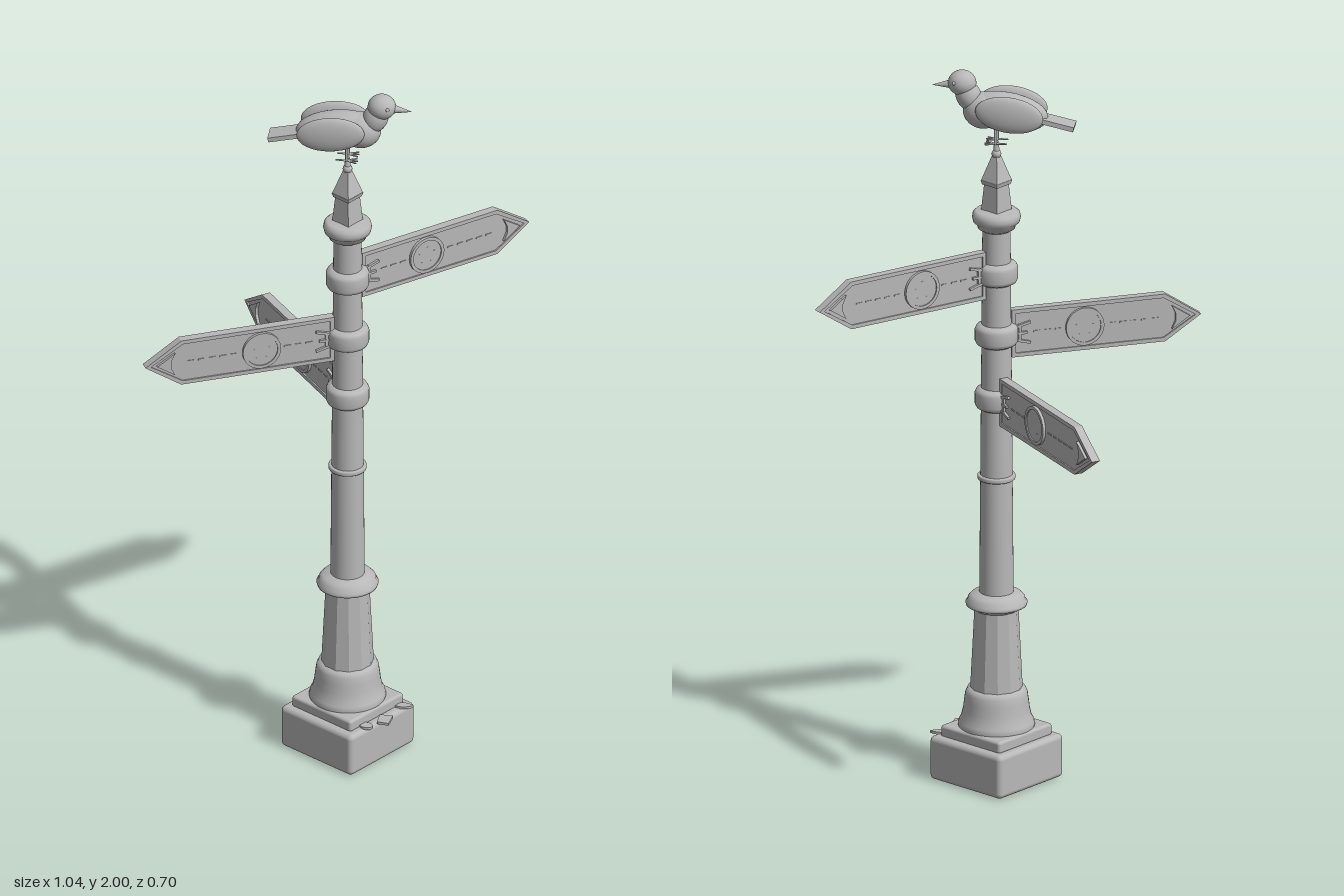
import * as THREE from 'three';
import { RoundedBoxGeometry } from 'three/addons/geometries/RoundedBoxGeometry.js';

const stone = new THREE.MeshStandardMaterial({ color: 0xb8b8b8 });
const facetedStone = stone.clone();
facetedStone.flatShading = true;
stone.name = 'grey';
facetedStone.name = 'grey faceted';

function add(parent, name, geometry, x = 0, y = 0, z = 0, material = stone) {
  const mesh = new THREE.Mesh(geometry, material);
  mesh.name = name;
  mesh.position.set(x, y, z);
  parent.add(mesh);
  return mesh;
}

const lathe = (pts, sides = 40) =>
  new THREE.LatheGeometry(pts.map(([r, y]) => new THREE.Vector2(r, y)), sides);

// Rounded ring band around the post, centred on y
function band(parent, name, r, h, y) {
  const c = h * 0.25;
  add(parent, name, lathe([[0.03, -h / 2], [r - c, -h / 2], [r - c * 0.3, -h / 2 + c * 0.4], [r, -h / 2 + c],
    [r, h / 2 - c], [r - c * 0.3, h / 2 - c * 0.4], [r - c, h / 2], [0.03, h / 2]]), 0, y, 0);
}

// Square tapering block
function squareTaper(parent, name, top, bottom, y0, y1) {
  const g = new THREE.CylinderGeometry(top * Math.SQRT2, bottom * Math.SQRT2, y1 - y0, 4);
  add(parent, name, g, 0, (y0 + y1) / 2, 0, facetedStone).rotation.y = Math.PI / 4;
}

function polygon(pts, Kind = THREE.Shape) {
  return new Kind(pts.map(([x, y]) => new THREE.Vector2(x, y)));
}

function extrude(shape, depth) {
  const g = new THREE.ExtrudeGeometry(shape, { depth, bevelEnabled: false, curveSegments: 24 });
  return g.translate(0, 0, -depth / 2);
}

// Pointed finger board, reaching along +x
function makeSign(name, y, angle) {
  const sign = new THREE.Group();
  sign.name = name;
  const outline = (d) => [[0.04 + d, -0.067 + d], [0.467 - d * 0.4, -0.067 + d], [0.567 - d * 1.4, 0],
    [0.467 - d * 0.4, 0.067 - d], [0.04 + d, 0.067 - d]];
  add(sign, 'board', extrude(polygon(outline(0)), 0.016));
  const rim = polygon(outline(0));
  rim.holes.push(polygon(outline(0.011).reverse(), THREE.Path));
  add(sign, 'raisedRim', extrude(rim, 0.024));

  // Emblem ring and small disc, raised on both faces
  const ring = new THREE.Shape().absarc(0, 0, 0.053, 0, Math.PI * 2);
  ring.holes.push(new THREE.Path().absarc(0, 0, 0.044, 0, Math.PI * 2, true));
  add(sign, 'emblemRing', extrude(ring, 0.032), 0.243);
  add(sign, 'emblemDisc', new THREE.CylinderGeometry(0.044, 0.044, 0.026, 32), 0.243).rotation.x = Math.PI / 2;
  for (let i = 0; i < 5; i++) {
    const a = i * Math.PI * 0.4 + 0.3;
    add(sign, 'emblemStud', new THREE.SphereGeometry(0.006, 10, 6).scale(1, 1, 2.4),
      0.243 + 0.024 * Math.cos(a), 0.024 * Math.sin(a), 0);
  }
  // Arrow at the point
  const arrow = polygon([[0.485, 0.033], [0.535, 0], [0.485, -0.033], [0.496, -0.01], [0.496, 0.01]]);
  add(sign, 'pointArrow', extrude(arrow, 0.032));
  // Bracket straps by the post
  for (const dy of [-0.022, 0, 0.022])
    add(sign, 'bracketStrap', new THREE.BoxGeometry(dy ? 0.055 : 0.045, 0.007, 0.03), dy ? 0.065 : 0.06, dy, 0)
      .rotation.z = dy * 12;
  add(sign, 'bracketBar', new THREE.BoxGeometry(0.008, 0.05, 0.028), 0.062, 0, 0);
  // Broken raised line along the middle
  for (const x of [0.11, 0.14, 0.17, 0.32, 0.35, 0.38, 0.41, 0.44])
    add(sign, 'dash', new THREE.BoxGeometry(0.018, 0.004, 0.02), x, 0, 0);

  sign.position.y = y;
  sign.rotation.y = angle;
  return sign;
}

// Perched bird, facing local +z with its feet at y = 0
function makeBird() {
  const bird = new THREE.Group();
  bird.name = 'bird';
  const ball = (name, r, sx, sy, sz, x, y, z, tilt = 0) => {
    const m = add(bird, name, new THREE.SphereGeometry(r, 28, 18).scale(sx, sy, sz), x, y, z);
    m.rotation.x = tilt;
    return m;
  };
  ball('body', 1, 0.045, 0.054, 0.115, 0, 0.088, -0.025, -0.12);
  ball('breast', 1, 0.046, 0.05, 0.055, 0, 0.09, 0.035);
  ball('neck', 1, 0.032, 0.045, 0.034, 0, 0.13, 0.075, 0.4);
  ball('head', 1, 0.035, 0.035, 0.038, 0, 0.165, 0.092);
  const beak = new THREE.ConeGeometry(0.013, 0.055, 12).rotateX(Math.PI / 2);
  add(bird, 'beak', beak, 0, 0.158, 0.146).rotation.x = 0.1;
  const tail = add(bird, 'tail', new THREE.BoxGeometry(0.056, 0.013, 0.14), 0, 0.07, -0.142);
  tail.rotation.x = -0.22;
  for (const s of [-1, 1]) {
    ball('wing', 1, 0.018, 0.05, 0.092, s * 0.046, 0.095, -0.04, -0.12);
    ball('eye', 0.005, 1, 1, 1, s * 0.029, 0.172, 0.111);
    add(bird, 'leg', new THREE.CylinderGeometry(0.004, 0.004, 0.05, 8), s * 0.018, 0.025, 0);
    for (const a of [-0.45, 0, 0.45, Math.PI]) {
      const toe = new THREE.CylinderGeometry(0.002, 0.0035, 0.032, 6).rotateX(Math.PI / 2).translate(0, 0, 0.014);
      add(bird, 'toe', toe, s * 0.018, 0.003, 0).rotation.y = a;
    }
  }
  return bird;
}

// Thin scraps lying on the front edge of the base
function addScraps(post) {
  const leaf = new THREE.Shape();
  leaf.moveTo(0, -0.03);
  leaf.quadraticCurveTo(0.024, 0, 0, 0.03);
  leaf.quadraticCurveTo(-0.024, 0, 0, -0.03);
  const oval = new THREE.Shape().absellipse(0, 0, 0.014, 0.019, 0, Math.PI * 2);
  const paper = polygon([[-0.022, -0.016], [0.022, -0.018], [0.02, 0.018], [-0.02, 0.016]]);
  const scraps = [['leaf', leaf, 0.088, 0.118, 0.6], ['pebble', oval, -0.057, 0.118, 0.3], ['paper', paper, 0, 0.133, 0.5]];
  for (const [name, shape, x, z, turn] of scraps)
    add(post, name, extrude(shape, 0.007).rotateX(-Math.PI / 2), x, 0.124, z).rotation.y = turn;
}

export function createModel() {
  const model = new THREE.Group();
  model.name = 'signpost';
  const post = new THREE.Group();
  post.name = 'post';
  post.position.set(-0.03, 0, 0.19);
  model.add(post);

  // Square base and bell-shaped foot
  add(post, 'baseBlock', new RoundedBoxGeometry(0.256, 0.122, 0.256, 4, 0.014), 0, 0.061, 0);
  add(post, 'basePlinth', new RoundedBoxGeometry(0.212, 0.034, 0.212, 3, 0.008), 0, 0.135, 0);
  add(post, 'bellFoot', lathe([[0.1, 0.145], [0.103, 0.155], [0.1, 0.167], [0.094, 0.178], [0.089, 0.2], [0.086, 0.225],
    [0.083, 0.245], [0.077, 0.258], [0.06, 0.262]]));

  // Faceted lower column, collar and slender shaft
  add(post, 'lowerColumn', new THREE.CylinderGeometry(0.058, 0.07, 0.24, 12), 0, 0.378, 0, facetedStone)
    .rotation.y = Math.PI / 12;
  add(post, 'collar', lathe([[0.055, 0.478], [0.066, 0.486], [0.081, 0.493], [0.083, 0.5], [0.078, 0.505],
    [0.076, 0.514], [0.066, 0.524], [0.044, 0.53]]));
  add(post, 'shaft', new THREE.CylinderGeometry(0.0375, 0.046, 1.06, 32), 0, 1.04, 0);
  band(post, 'shaftRing', 0.051, 0.014, 0.855);
  add(post, 'capCollar', lathe([[0.037, 1.552], [0.05, 1.56], [0.052, 1.57], [0.062, 1.578], [0.065, 1.59],
    [0.063, 1.602], [0.054, 1.61], [0, 1.613]]));

  // Square finial with a spire
  squareTaper(post, 'finialBlock', 0.023, 0.029, 1.61, 1.685);
  squareTaper(post, 'finialEave', 0.03, 0.027, 1.682, 1.694);
  squareTaper(post, 'finialSpire', 0.008, 0.029, 1.694, 1.765);
  add(post, 'finialKnob', new THREE.SphereGeometry(0.013, 16, 10), 0, 1.768, 0);
  add(post, 'finialTip', new THREE.CylinderGeometry(0.006, 0.01, 0.04, 12), 0, 1.783, 0);

  // Three finger boards, each held by a band
  const signs = [['upperSign', 1.433, -0.265], ['middleSign', 1.257, Math.PI - 0.535], ['lowerSign', 1.078, 1.22]];
  for (const [name, y, angle] of signs) {
    band(post, name + 'Band', 0.058, 0.062, y);
    post.add(makeSign(name, y, angle));
  }

  const bird = makeBird();
  bird.position.y = 1.8;
  bird.rotation.y = 0.603;
  post.add(bird);
  addScraps(post);
  return model;
}
